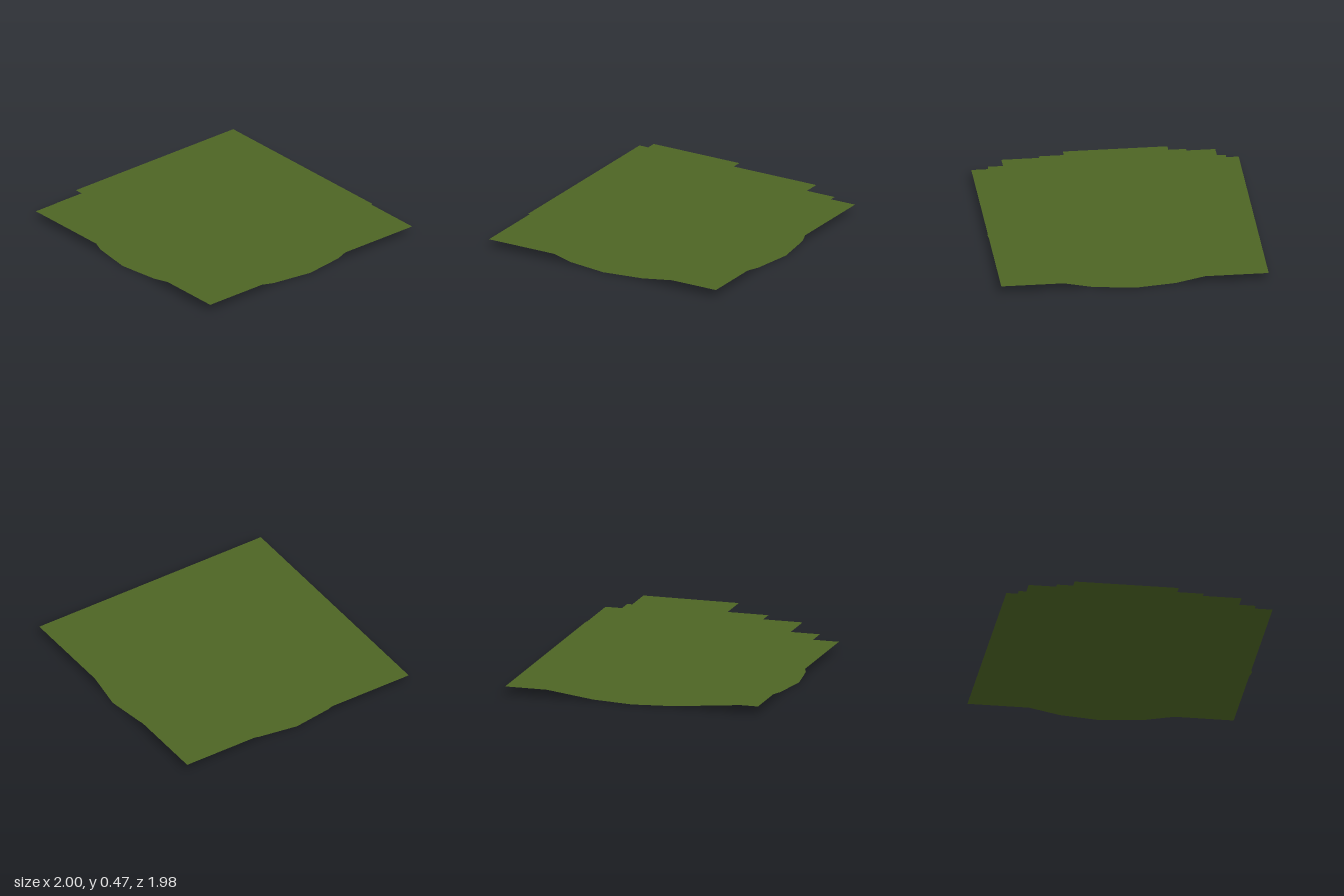
import * as THREE from 'three';

const leafGreen = new THREE.MeshStandardMaterial({ color: 0x4d6424, side: THREE.DoubleSide });
leafGreen.name = 'leafGreen';

// Flat horizontal sheet, facing up, at the given height
function sheet(name, geometry, x, y, z) {
  geometry.rotateX(-Math.PI / 2);
  const mesh = new THREE.Mesh(geometry, leafGreen);
  mesh.name = name;
  mesh.position.set(x, y, z);
  return mesh;
}

export function createModel() {
  const group = new THREE.Group();
  group.name = 'layeredFoliage';

  // Rounded base sheet: one quarter of the outline, turned four times
  const quarter = [[0.99, 0], [0.945, 0.31], [0.775, 0.75], [0.315, 0.94]];
  const outline = [];
  for (let i = 0; i < 4; i++) {
    for (const [x, y] of quarter) {
      // odd quarters are mirrored so the outline stays symmetric
      const points = i % 2 ? [-y, x] : [x, y];
      const s = i < 2 ? 1 : -1;
      outline.push(new THREE.Vector2(points[0] * s, points[1] * s));
    }
  }
  group.add(sheet('roundedBase', new THREE.ShapeGeometry(new THREE.Shape(outline)), 0, 0, 0));

  // Square sheets, shrinking upward: x min, x max, z min, z max, height
  const layers = [
    [-1, 1, -0.985, 0.985, 0.064],
    [-0.89, 0.89, -0.875, 0.872, 0.14],
    [-0.8, 0.8, -0.77, 0.765, 0.245],
    [-0.56, 0.543, -0.52, 0.58, 0.35],
    [-0.4, 0.382, -0.343, 0.4, 0.469],
  ];
  layers.forEach(([x0, x1, z0, z1, y], i) => {
    const geometry = new THREE.PlaneGeometry(x1 - x0, z1 - z0);
    group.add(sheet(`squareLayer${i + 1}`, geometry, (x0 + x1) / 2, y, (z0 + z1) / 2));
  });

  return group;
}
